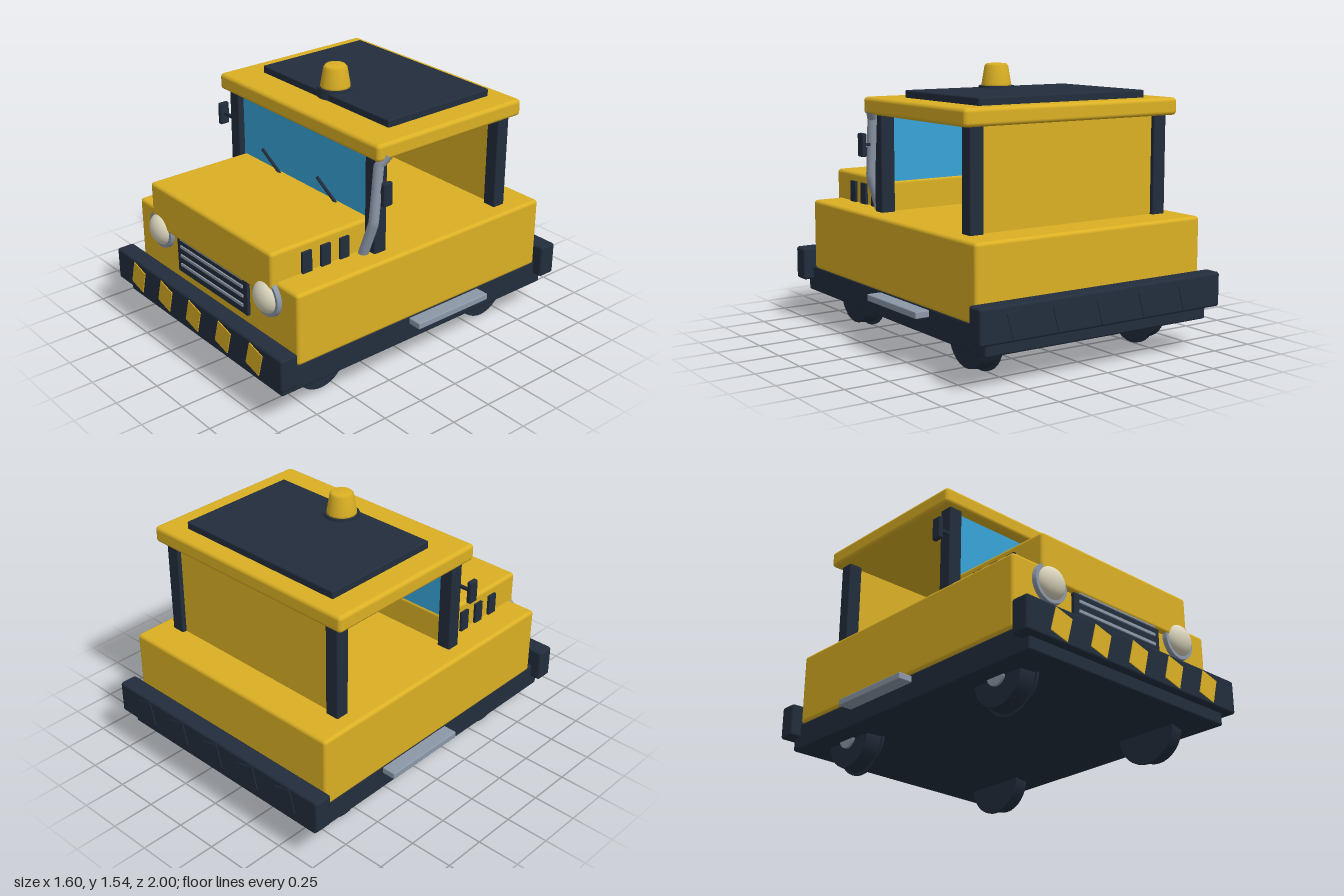
import * as THREE from 'three';
import { RoundedBoxGeometry } from 'three/addons/geometries/RoundedBoxGeometry.js';

const mat = (name, color, side = THREE.FrontSide) => {
  const m = new THREE.MeshStandardMaterial({ color, side });
  m.name = name;
  return m;
};

export function createModel() {
  const model = new THREE.Group();
  model.name = 'utilityTruck';
  const yellow = mat('yellow paint', 0xdbb024);
  const dark = mat('dark trim', 0x222d3c);
  const blue = mat('window blue', 0x37a5da, THREE.DoubleSide);
  const grey = mat('grey metal', 0x8c98a8);
  const cream = mat('lamp cream', 0xdcd6be);
  const orange = mat('vest orange', 0xdd5a1e);
  const skin = mat('skin', 0xd8a472);

  const add = (name, geo, material, x = 0, y = 0, z = 0, parent = model) => {
    const m = new THREE.Mesh(geo, material);
    m.name = name;
    m.position.set(x, y, z);
    parent.add(m);
    return m;
  };
  // Box given by its limits; r rounds the edges
  const box = (name, material, [x0, x1], [y0, y1], [z0, z1], r = 0, parent = model) => {
    const s = [x1 - x0, y1 - y0, z1 - z0];
    const geo = r ? new RoundedBoxGeometry(...s, 3, r) : new THREE.BoxGeometry(...s);
    return add(name, geo, material, (x0 + x1) / 2, (y0 + y1) / 2, (z0 + z1) / 2, parent);
  };
  // Straight rod between two points
  const rod = (name, material, a, b, r, sides = 12, parent = model) => {
    const p = new THREE.Vector3(...a), q = new THREE.Vector3(...b);
    const m = add(name, new THREE.CylinderGeometry(r, r, p.distanceTo(q), sides), material, 0, 0, 0, parent);
    m.position.copy(p).lerp(q, 0.5);
    m.quaternion.setFromUnitVectors(new THREE.Vector3(0, 1, 0), q.sub(p).normalize());
    return m;
  };
  // Range on the side s (+1 left, -1 right)
  const side = (s, a, b) => (s > 0 ? [a, b] : [-b, -a]);

  // Chassis, body and hood
  box('chassis', dark, [-0.72, 0.72], [0.175, 0.325], [-0.95, 0.95], 0.012);
  box('body', yellow, [-0.73, 0.73], [0.32, 0.73], [-0.88, 0.85], 0.02);
  box('hood', yellow, [-0.555, 0.555], [0.64, 0.9], [0.22, 0.88], 0.02);

  // Bumpers with slanted stripes
  for (const s of [1, -1]) {
    box(s > 0 ? 'frontBumper' : 'rearBumper', dark, [-0.78, 0.78], [0.245, 0.435], side(s, 0.89, 0.995), 0.015);
    for (let i = -2; i <= 2; i++) {
      const stripe = add('bumperStripe', new THREE.BoxGeometry(0.115, 0.137, 0.008),
        s > 0 ? yellow : dark, i * 0.276, 0.34, s * 0.996);
      stripe.rotation.z = -0.27;
    }
  }

  // Grille
  box('grille', dark, [-0.325, 0.325], [0.44, 0.645], [0.83, 0.868]);
  for (const y of [0.49, 0.545, 0.6, 0.648])
    box('grilleBar', grey, [-0.29, 0.29], [y - 0.008, y + 0.008], [0.86, 0.876]);

  for (const s of [1, -1]) {
    // Headlights
    const ring = add('headlightRing', new THREE.CylinderGeometry(0.108, 0.116, 0.05, 32), grey, s * 0.49, 0.63, 0.85);
    ring.rotation.x = Math.PI / 2;
    const lamp = add('headlight', new THREE.SphereGeometry(0.092, 32, 20), cream, s * 0.49, 0.63, 0.86);
    lamp.scale.z = 0.7;

    // Hood vents
    for (const z of [0.66, 0.537, 0.413])
      box('hoodVent', dark, side(s, 0.54, 0.57), [0.73, 0.85], [z - 0.03, z + 0.03]);

    // Cab pillars
    box('frontPillar', dark, side(s, 0.555, 0.638), [0.72, 1.29], [0.19, 0.27], 0.008);
    box('rearPillar', dark, side(s, 0.555, 0.638), [0.72, 1.29], [-0.695, -0.615], 0.008);

    // Mirrors
    box('mirrorArm', dark, side(s, 0.63, 0.71), [1.097, 1.113], [0.255, 0.271]);
    box('mirror', dark, side(s, 0.703, 0.732), [1.04, 1.17], [0.233, 0.293], 0.008);

    // Side steps
    box('sideStep', grey, side(s, 0.71, 0.8), [0.275, 0.313], [-0.43, 0.085], 0.006);

    // Wheels
    for (const z of [0.6, -0.595]) {
      const wheel = new THREE.Group();
      wheel.name = 'wheel';
      wheel.position.set(s * 0.55, 0.19, z);
      wheel.rotation.z = -s * Math.PI / 2;
      model.add(wheel);
      add('tyre', new THREE.CylinderGeometry(0.165, 0.178, 0.1, 32), dark, 0, 0, 0, wheel);
      add('tyreRim', new THREE.CylinderGeometry(0.19, 0.19, 0.015, 32), dark, 0, -0.045, 0, wheel);
      add('hub', new THREE.CylinderGeometry(0.06, 0.06, 0.03, 20), grey, 0, 0.05, 0, wheel);
    }
  }

  // Cab panels and wipers
  box('windshield', blue, [-0.56, 0.56], [0.72, 1.28], [0.226, 0.234]);
  box('rearPanel', yellow, [-0.56, 0.56], [0.72, 1.28], [-0.67, -0.645]);
  for (const x of [-0.36, 0.135])
    rod('wiper', dark, [x, 0.99, 0.25], [x + 0.2, 0.87, 0.25], 0.009, 8);

  // Roof and beacon
  box('roof', yellow, [-0.69, 0.69], [1.272, 1.367], [-0.73, 0.3], 0.022);
  box('roofPanel', dark, [-0.54, 0.54], [1.36, 1.408], [-0.625, 0.1], 0.008);
  add('beaconBase', new THREE.CylinderGeometry(0.098, 0.105, 0.05, 32), dark, 0, 1.395, 0.01);
  const profile = [[0, 1.41], [0.083, 1.41], [0.083, 1.43], [0.066, 1.53], [0.055, 1.543], [0, 1.543]];
  add('beacon', new THREE.LatheGeometry(profile.map(p => new THREE.Vector2(...p)), 32), yellow, 0, 0, 0.01);

  // Exhaust pipe on the left front pillar
  const pts = [[0.585, 0.72, 0.305], [0.65, 0.92, 0.29], [0.652, 1.24, 0.262], [0.68, 1.3, 0.225]]
    .map(p => new THREE.Vector3(...p));
  const path = new THREE.CurvePath();
  for (let i = 0; i < 3; i++) path.add(new THREE.LineCurve3(pts[i], pts[i + 1]));
  const pipeMetal = mat('grey pipe', 0x8c98a8, THREE.DoubleSide);
  add('exhaustPipe', new THREE.TubeGeometry(path, 24, 0.028, 12), pipeMetal);

  // Steering wheel
  const steering = add('steeringWheel', new THREE.TorusGeometry(0.115, 0.011, 8, 28), dark, 0, 0.875, 0.08);
  steering.rotation.x = 0.64;
  rod('steeringColumn', dark, [0, 0.875, 0.08], [0, 0.78, 0.2], 0.012);

  // Driver
  const driver = new THREE.Group();
  driver.name = 'driver';
  model.add(driver);
  box('torso', orange, [-0.14, 0.14], [0.765, 1.085], [-0.262, -0.07], 0.015, driver);
  box('vestTrim', yellow, [-0.11, 0.11], [0.755, 1.075], [-0.273, -0.06], 0, driver);
  const head = add('head', new THREE.SphereGeometry(0.105, 28, 18), skin, 0, 1.165, -0.15, driver);
  head.scale.y = 0.9;
  const cap = add('cap', new THREE.SphereGeometry(0.14, 28, 12, 0, Math.PI * 2, 0, Math.PI / 2), yellow, 0, 1.19, -0.16, driver);
  cap.scale.y = 0.65;
  const capRim = add('capRim', new THREE.CylinderGeometry(0.14, 0.1, 0.045, 28), yellow, 0, 1.168, -0.16, driver);
  capRim.scale.z = 1;
  box('capBrim', yellow, [-0.09, 0.09], [1.19, 1.205], [-0.1, 0.015], 0.006, driver);
  for (const s of [1, -1]) {
    box('glasses', dark, side(s, 0.015, 0.085), [1.125, 1.175], [-0.085, -0.035], 0.01, driver);
    rod('arm', orange, [s * 0.16, 0.9, -0.175], [s * 0.11, 0.97, 0.055], 0.038, 10, driver);
    add('hand', new THREE.SphereGeometry(0.035, 10, 8), skin, s * 0.11, 0.893, 0.065, driver);
  }

  return model;
}
